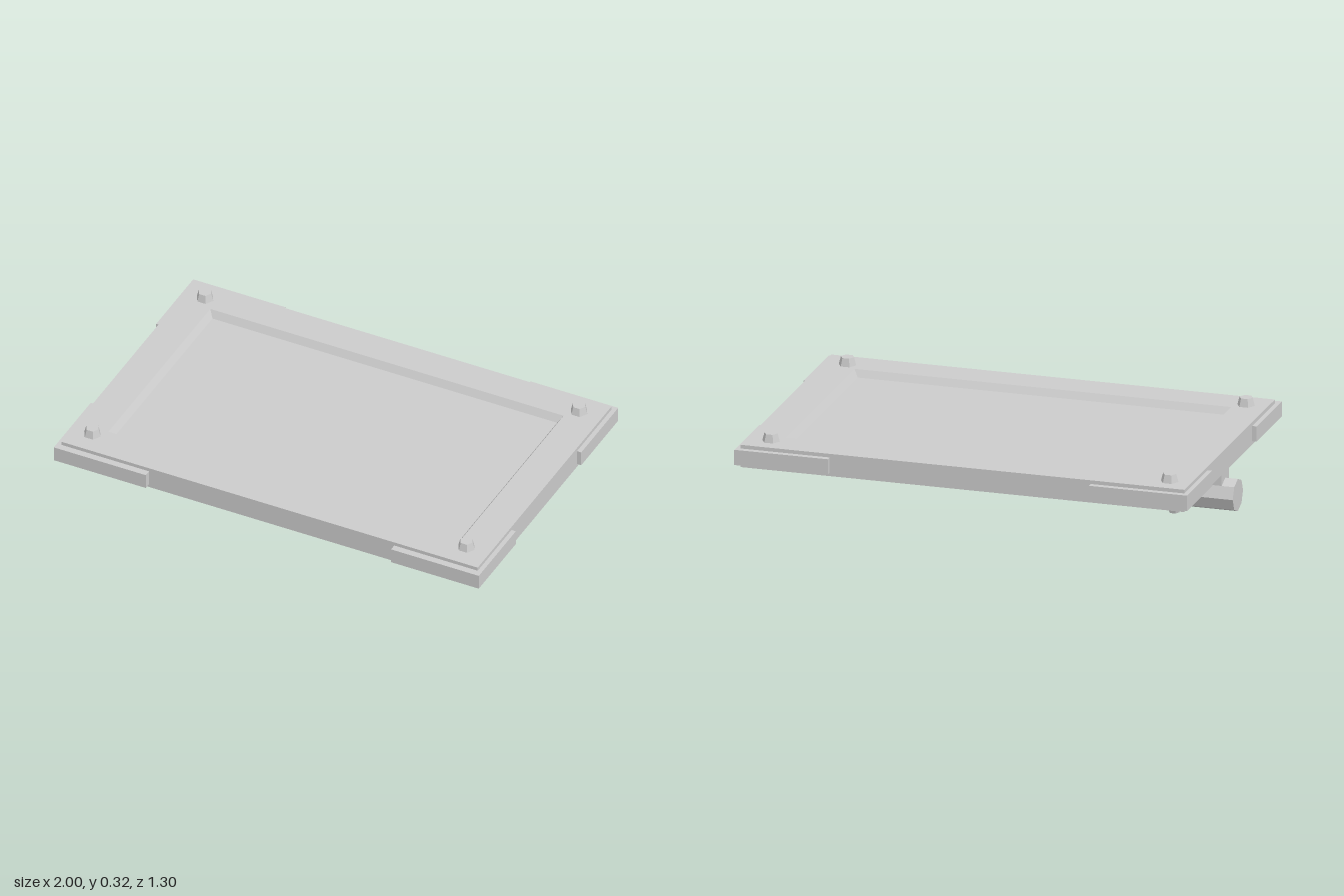
import * as THREE from 'three';

const material = new THREE.MeshStandardMaterial({ color: 0xcccccc, flatShading: true });

function add(parent, name, geometry, x = 0, y = 0, z = 0) {
  const mesh = new THREE.Mesh(geometry, material);
  mesh.name = name;
  mesh.position.set(x, y, z);
  parent.add(mesh);
  return mesh;
}

// Box given by its limits on each axis
function addBox(parent, name, [x0, x1], [y0, y1], [z0, z1]) {
  return add(parent, name, new THREE.BoxGeometry(x1 - x0, y1 - y0, z1 - z0),
    (x0 + x1) / 2, (y0 + y1) / 2, (z0 + z1) / 2);
}

// Skin through a series of rectangles [x0, x1, z0, z1, y], capped at both ends
function rectangleLoft(rings) {
  const positions = [];
  const index = [];
  for (const [x0, x1, z0, z1, y] of rings) {
    positions.push(x0, y, z1, x1, y, z1, x1, y, z0, x0, y, z0);
  }
  for (let r = 0; r < rings.length - 1; r++) {
    for (let i = 0; i < 4; i++) {
      const a = r * 4 + i, b = r * 4 + (i + 1) % 4;
      index.push(a, b, b + 4, a, b + 4, a + 4);
    }
  }
  const e = (rings.length - 1) * 4;
  index.push(0, 2, 1, 0, 3, 2, e, e + 1, e + 2, e, e + 2, e + 3);
  const geometry = new THREE.BufferGeometry();
  geometry.setAttribute('position', new THREE.Float32BufferAttribute(positions, 3));
  geometry.setIndex(index);
  const flat = geometry.toNonIndexed();
  flat.computeVertexNormals();
  return flat;
}

// Tapered hexagonal bolt with corners pointing along x
function addBolt(parent, name, rTop, rBottom, height, x, y, z) {
  const bolt = add(parent, name, new THREE.CylinderGeometry(rTop, rBottom, height, 6), x, y, z);
  bolt.rotation.y = Math.PI / 2;
}

export function createModel() {
  const model = new THREE.Group();
  model.name = 'hatchPanel';

  // Slab with a bevelled shallow recess in its top
  add(model, 'panel', rectangleLoft([
    [-0.965, 0.98, -0.625, 0.62, 0.192],
    [-0.965, 0.98, -0.625, 0.62, 0.29],
    [-0.82, 0.83, -0.48, 0.47, 0.29],
    [-0.8, 0.81, -0.46, 0.45, 0.26],
  ]));

  // L-shaped guards wrapped round the four corners
  for (const sz of [1, -1]) {
    for (const [outer, end, inner] of [[-0.985, -0.555, -0.9], [1, 0.59, 0.9]]) {
      const shape = new THREE.Shape([
        [outer, 0.65], [end, 0.65], [end, 0.57], [inner, 0.57], [inner, 0.305], [outer, 0.305],
      ].map(([x, z]) => new THREE.Vector2(x, -z * sz)));
      const geometry = new THREE.ExtrudeGeometry(shape, { depth: 0.067, bevelEnabled: false });
      geometry.rotateX(-Math.PI / 2);
      add(model, 'cornerGuard', geometry, 0, 0.207, 0);
    }
  }

  // Bolts on the top corners
  for (const x of [-0.872, 0.875]) {
    for (const z of [-0.535, 0.515]) {
      addBolt(model, 'topBolt', 0.029, 0.041, 0.045, x, 0.3025, z);
    }
  }

  // Hinge strip below one end, with its bolts, stem and octagonal barrel
  const hinge = new THREE.Group();
  hinge.name = 'hinge';
  model.add(hinge);
  addBox(hinge, 'hingeStrip', [-0.95, -0.83], [0.178, 0.2], [-0.58, 0.58]);
  for (const z of [0.49, 0.24, -0.26, -0.53]) {
    addBolt(hinge, 'hingeBolt', 0.033, 0.023, 0.03, -0.89, 0.17, z);
  }
  addBox(hinge, 'hingeStem', [-0.945, -0.84], [0.08, 0.19], [-0.05, 0.05]);
  const barrel = add(hinge, 'hingeBarrel', new THREE.CylinderGeometry(0.071, 0.071, 0.22, 8), -0.89, 0.071, 0);
  barrel.rotation.z = Math.PI / 2;

  return model;
}
